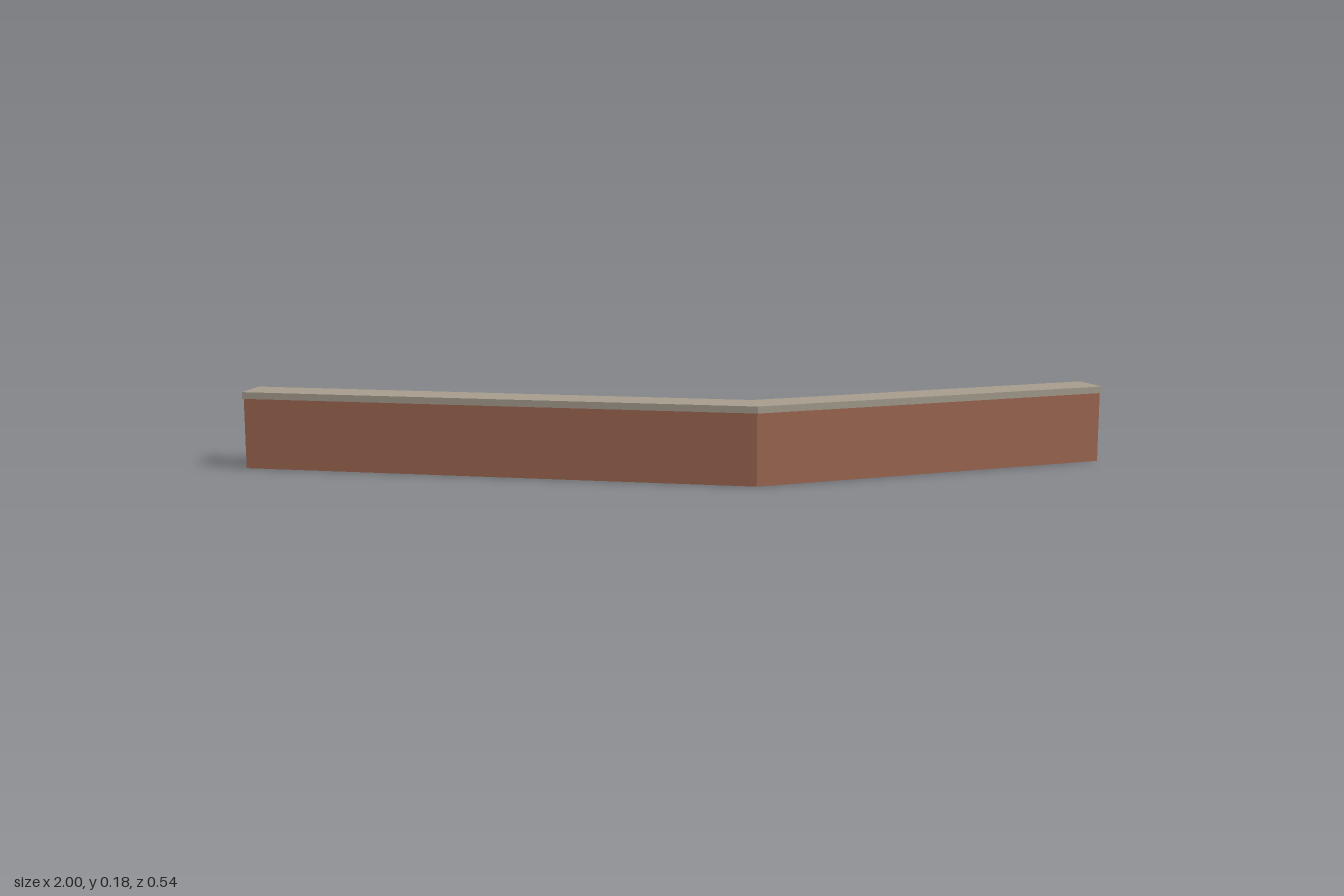
import * as THREE from 'three';

const BEND = THREE.MathUtils.degToRad(30.9); // turn of the right-hand run
const WIDTH = 0.0945;                        // coping width
const FRONT_Z = 0.272, CORNER_X = 0.2264, LEFT_X = -1, RUN = 0.9016;

// Plan outline of the bent strip, inset on its long sides only
function bentStrip(inset, y0, y1) {
  const s = Math.sin(BEND), c = Math.cos(BEND), t = Math.tan(BEND / 2);
  const offset = (d) => [
    [LEFT_X, FRONT_Z - d],
    [CORNER_X - d * t, FRONT_Z - d],
    [CORNER_X + RUN * c - d * s, FRONT_Z - RUN * s - d * c],
  ];
  const outline = [...offset(inset), ...offset(WIDTH - inset).reverse()];
  const shape = new THREE.Shape(outline.map(([x, z]) => new THREE.Vector2(x, -z)));
  const geo = new THREE.ExtrudeGeometry(shape, { depth: y1 - y0, bevelEnabled: false });
  return geo.rotateX(-Math.PI / 2).translate(0, y0, 0);
}

export function createModel() {
  const brick = new THREE.MeshStandardMaterial({ color: 0x9e6852 });
  brick.name = 'brick';
  const stone = new THREE.MeshStandardMaterial({ color: 0xa69d8e });
  stone.name = 'stone';

  const model = new THREE.Group();
  model.name = 'bentGardenWall';

  // Brick wall body
  const wall = new THREE.Mesh(bentStrip(0.0085, 0, 0.168), brick);
  wall.name = 'wall';

  // Overhanging stone coping
  const coping = new THREE.Mesh(bentStrip(0, 0.168, 0.184), stone);
  coping.name = 'coping';

  model.add(wall, coping);
  return model;
}
